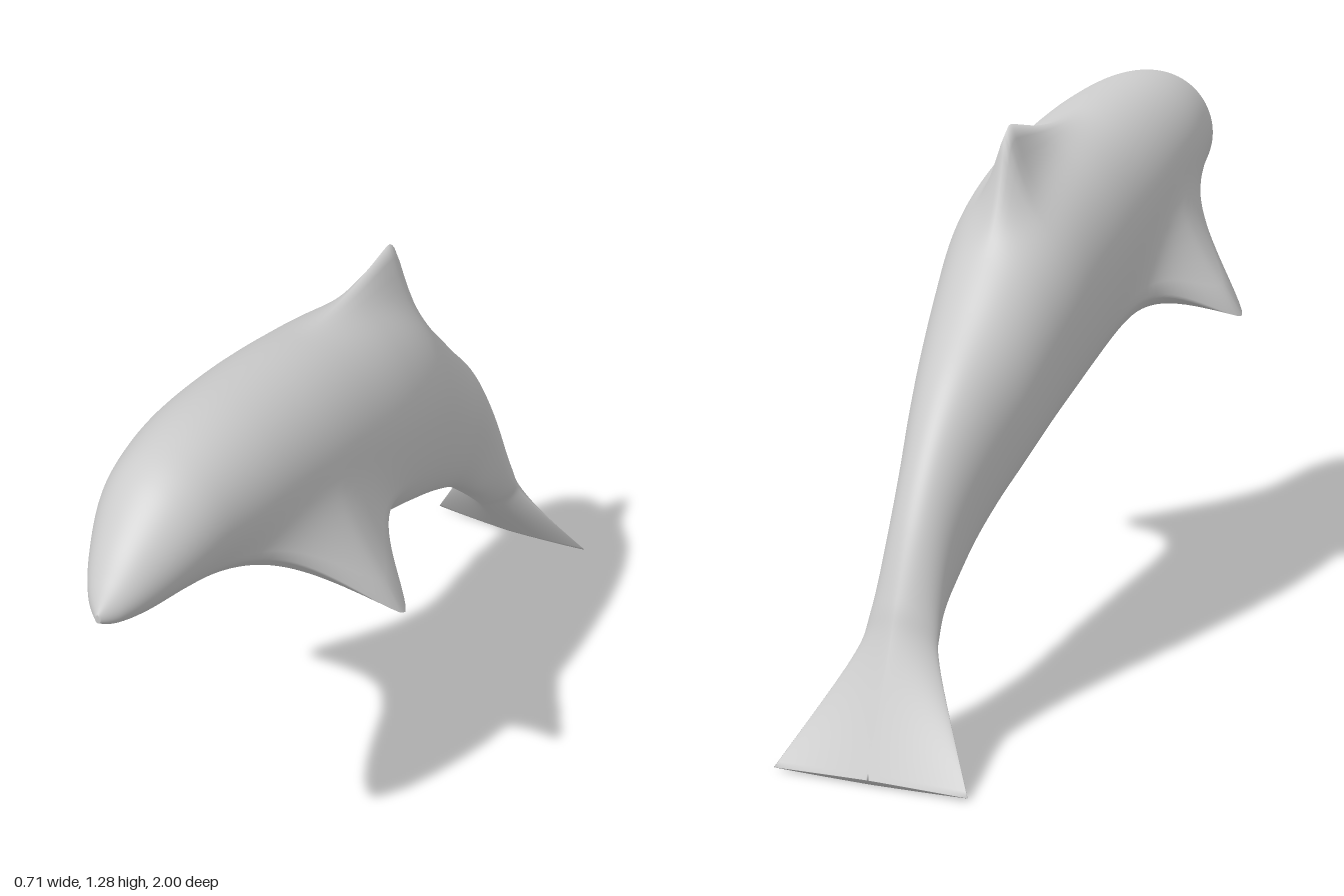
import * as THREE from 'three';

const { clamp, smoothstep } = THREE.MathUtils;
const SIDES = 80, STEPS = 204;

// Body from snout to flukes: back z, back y, belly z, belly y, half width
const bodyRows = [
  [1.0, 1.035, 1.0, 1.015, 0.006],
  [0.96, 1.09, 0.965, 0.995, 0.045],
  [0.9, 1.155, 0.9, 0.98, 0.083],
  [0.8, 1.235, 0.8, 0.97, 0.125],
  [0.7, 1.27, 0.7, 0.95, 0.15],
  [0.55, 1.28, 0.55, 0.905, 0.175],
  [0.35, 1.265, 0.35, 0.835, 0.19],
  [0.15, 1.235, 0.15, 0.755, 0.194],
  [-0.05, 1.19, 0.0, 0.69, 0.191],
  [-0.22, 1.12, -0.15, 0.628, 0.178],
  [-0.35, 1.01, -0.27, 0.575, 0.158],
  [-0.48, 0.88, -0.4, 0.51, 0.134],
  [-0.6, 0.765, -0.5, 0.45, 0.107],
  [-0.7, 0.64, -0.6, 0.38, 0.084],
  [-0.78, 0.51, -0.69, 0.305, 0.074],
  [-0.85, 0.36, -0.77, 0.23, 0.08],
  [-0.89, 0.26, -0.83, 0.17, 0.103],
  [-1.0, 0.015, -0.985, 0.0, 0.22],
];

// Catmull-Rom sample of every column of a table, t in 0..1
function sample(rows, t) {
  const last = rows.length - 1;
  const f = t * last;
  const i = Math.min(Math.floor(f), last - 1);
  const u = f - i;
  const row = (k) => rows[clamp(k, 0, last)];
  return rows[0].map((_, c) => {
    const [a, b, d, e] = [row(i - 1)[c], row(i)[c], row(i + 1)[c], row(i + 2)[c]];
    const m0 = (d - a) / 2, m1 = (e - b) / 2;
    return b + u * (m0 + u * (3 * (d - b) - 2 * m0 - m1 + u * (2 * (b - d) + m0 + m1)));
  });
}

const power = (v, p) => Math.sign(v) * Math.abs(v) ** p;

// Dorsal fin: long rising front edge, steep concave rear edge
function dorsalLift(x, z) {
  const front = clamp((0.2 - z) / 0.44, 0, 1) ** 2.2;
  const rear = clamp((z + 0.4) / 0.135, 0, 1) ** 3;
  return 0.155 * front * rear * Math.exp(-((Math.abs(x) / 0.04) ** 1.4));
}

// Flipper: share of the pull towards the tip, angle measured from the back;
// the upper side falls away quickly, the underside runs flat into the chest
function flipperPull(angle, z) {
  const d = angle - Math.PI * 0.7;
  const around = d < 0 ? Math.max(0, 1 + d / 0.8) ** 3.5 : Math.max(0, 1 - d) ** 1.3;
  return around * Math.exp(-((Math.abs(z - 0.355) / 0.145) ** 1.5));
}

// One point of the skin; angle runs from the back (0) to the belly (PI)
function skinPoint(t, angle) {
  const [zt, yt, zb, yb, w] = sample(bodyRows, t);
  const upper = angle < Math.PI / 2;
  // Sections turn lozenge-shaped towards the flukes; the belly is flattened
  const p = 1 + 0.6 * smoothstep(t, 0.8, 1);
  const flat = upper ? 0 : 0.5 * smoothstep(t, 0.2, 0.45) * (1 - smoothstep(t, 0.78, 0.92));
  const k = (1 + power(Math.cos(angle), p)) / 2;
  const x = w * power(Math.sin(angle), p - flat);
  const y = yb + (yt - yb) * k;
  const z = zb + (zt - zb) * k;
  const lift = upper ? dorsalLift(x, z) : 0;
  const pull = flipperPull(angle, z);
  return [x + 0.19 * pull, y + lift - 0.187 * pull, z];
}

// Continuous skin with the fins drawn out of the body
function bodyGeometry() {
  const positions = [], index = [];
  for (let j = 0; j <= STEPS; j++) {
    for (let i = 0; i < SIDES; i++) {
      const left = i <= SIDES / 2;
      const [x, y, z] = skinPoint(j / STEPS, ((left ? i : SIDES - i) * Math.PI * 2) / SIDES);
      positions.push(left ? x : -x, y, z);
    }
  }
  const id = (j, i) => j * SIDES + (i % SIDES);
  for (let j = 0; j < STEPS; j++) {
    for (let i = 0; i < SIDES; i++) {
      index.push(id(j, i), id(j, i + 1), id(j + 1, i));
      index.push(id(j, i + 1), id(j + 1, i + 1), id(j + 1, i));
    }
  }
  // Close the snout and the trailing edge of the flukes
  for (let i = 1; i < SIDES - 1; i++) {
    index.push(id(0, 0), id(0, i + 1), id(0, i));
    index.push(id(STEPS, 0), id(STEPS, i), id(STEPS, i + 1));
  }
  const geometry = new THREE.BufferGeometry();
  geometry.setAttribute('position', new THREE.Float32BufferAttribute(positions, 3));
  geometry.setIndex(index);
  geometry.computeVertexNormals();
  return geometry;
}

export function createModel() {
  const model = new THREE.Group();
  model.name = 'dolphin';
  const body = new THREE.Mesh(bodyGeometry(), new THREE.MeshStandardMaterial({ color: 0xcccccc }));
  body.name = 'bodyWithFins';
  model.add(body);
  return model;
}
